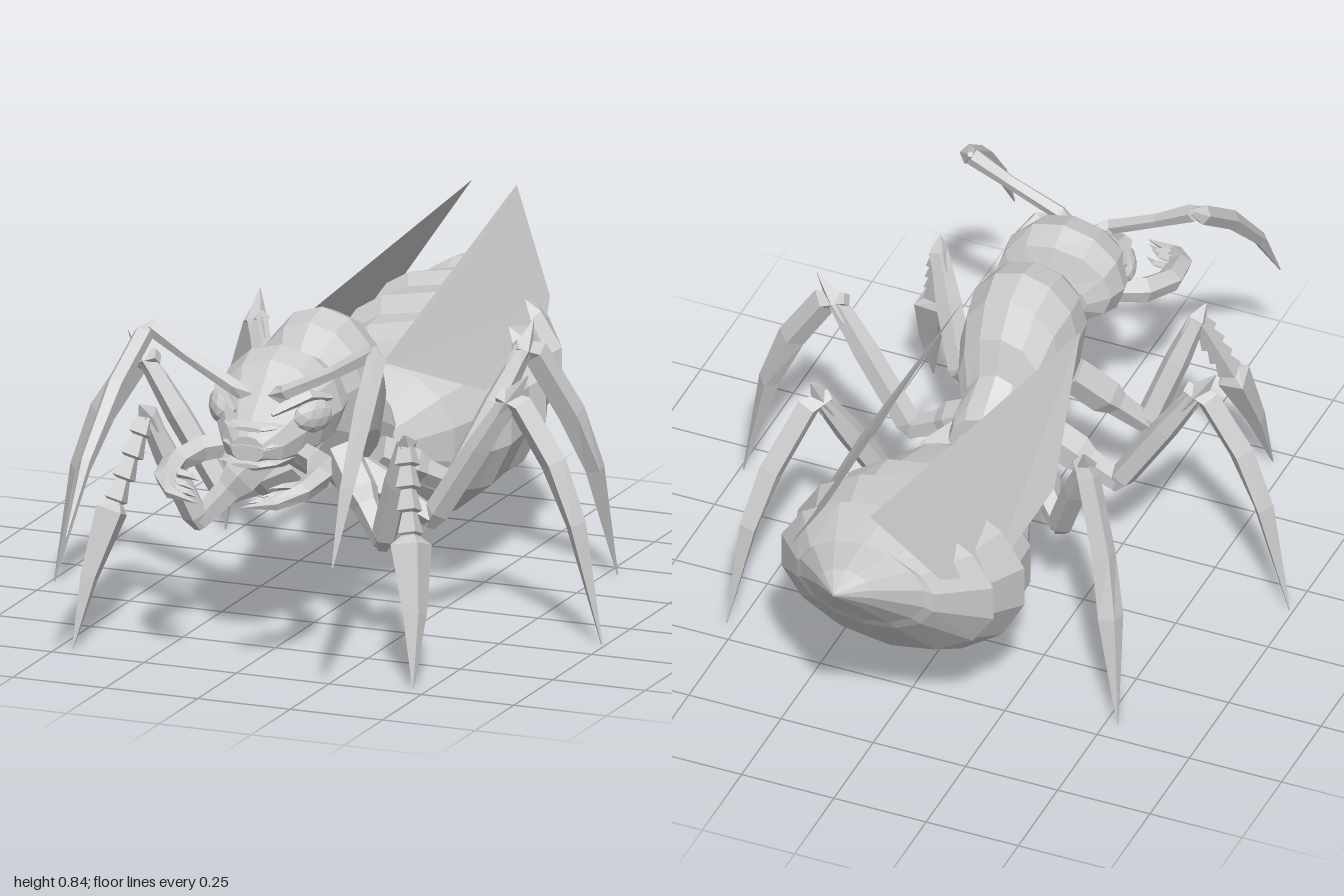
import * as THREE from 'three';

const shell = new THREE.MeshStandardMaterial({ color: 0xcccccc, side: THREE.DoubleSide });
shell.name = 'paleGreyShell';

// Joins equal rings of points into a faceted, capped skin
function skin(name, rings) {
  const pos = [], n = rings[0].length;
  const tri = (a, b, c) => pos.push(...a.toArray(), ...b.toArray(), ...c.toArray());
  for (let j = 0; j < rings.length - 1; j++) {
    for (let i = 0; i < n; i++) {
      const k = (i + 1) % n, a = rings[j], b = rings[j + 1];
      tri(a[i], a[k], b[k]);
      tri(a[i], b[k], b[i]);
    }
  }
  const first = rings[0], last = rings[rings.length - 1];
  for (let i = 1; i < n - 1; i++) {
    tri(first[0], first[i + 1], first[i]);
    tri(last[0], last[i], last[i + 1]);
  }
  const geo = new THREE.BufferGeometry();
  geo.setAttribute('position', new THREE.Float32BufferAttribute(pos, 3));
  geo.computeVertexNormals();
  const mesh = new THREE.Mesh(geo, shell);
  mesh.name = name;
  return mesh;
}

// Body part along z; stations run back to front: [z, top, bottom, halfWidth, heightOfWidest]
function body(name, stations, n = 12) {
  return skin(name, stations.map(([z, top, bot, w, mid = (top + bot) / 2]) =>
    Array.from({ length: n }, (_, i) => {
      const a = (i / n) * Math.PI * 2 + Math.PI / 2, s = Math.sin(a);
      return new THREE.Vector3(Math.cos(a) * w, mid + s * (s > 0 ? top - mid : mid - bot), z);
    })));
}

// Limb along points [x, y, z, widthAlongRef, depth]
function limb(name, side, pts, ref = [0, 1, 0], n = 5) {
  const p = pts.map(([x, y, z]) => new THREE.Vector3(x * side, y, z));
  const r = new THREE.Vector3(ref[0] * side, ref[1], ref[2]);
  return skin(name, p.map((c, j) => {
    const t = p[Math.min(j + 1, p.length - 1)].clone().sub(p[Math.max(j - 1, 0)]).normalize();
    const a = r.clone().addScaledVector(t, -r.dot(t)).normalize();
    const b = t.clone().cross(a);
    const [, , , w, d = w] = pts[j];
    return Array.from({ length: n }, (_, i) => {
      const q = (i / n) * Math.PI * 2;
      return c.clone().addScaledVector(a, Math.cos(q) * w).addScaledVector(b, Math.sin(q) * d);
    });
  }));
}

// Three-jointed leg: femur, tibia, knee spur, then a blade-like foot
function leg(name, side, { hip, low, knee, spur, ref, foot }) {
  const g = new THREE.Group();
  g.name = name;
  const mix = (a, b, t) => a.map((v, i) => v + (b[i] - v) * t);
  g.add(
    limb('femur', side, [[...hip, 0.05], [...mix(hip, low, 0.45), 0.05], [...mix(hip, low, 0.6), 0.035], [...low, 0.028]], ref),
    limb('tibia', side, [[...mix(low, knee, -0.06), 0.018], [...mix(low, knee, 0.06), 0.034],
      [...mix(low, knee, 0.6), 0.034], [...knee, 0.024]], ref),
    limb('kneeSpur', side, [[...mix(low, knee, 0.85), 0.026], [...knee, 0.028], [...spur, 0.002]], ref, 4),
    limb('foot', side, foot, ref, 4));
  return g;
}

// Front foot: flared short joints ending in a broad blade
const frontFoot = [];
for (let i = 0; i < 4; i++) {
  const at = (t) => [0.35 + 0.05 * t, 0.57 - 0.21 * t, 0.49 + 0.09 * t];
  frontFoot.push([...at(i / 4), 0.02], [...at((i + 0.9) / 4), 0.034]);
}
frontFoot.push([0.4, 0.36, 0.58, 0.024], [0.405, 0.34, 0.59, 0.055, 0.045],
  [0.44, 0.18, 0.65, 0.032, 0.025], [0.46, 0.005, 0.71, 0.002]);

const LEGS = {
  frontLeg: {
    hip: [0.09, 0.47, 0.29], low: [0.25, 0.28, 0.4], knee: [0.35, 0.57, 0.49],
    spur: [0.36, 0.6, 0.52], ref: [0.7, 0, -0.7], foot: frontFoot,
  },
  middleLeg: {
    hip: [0.08, 0.38, 0.15], low: [0.28, 0.28, 0.15], knee: [0.49, 0.61, 0.16],
    spur: [0.54, 0.68, 0.16], ref: [0, 0, 1],
    foot: [[0.46, 0.62, 0.16, 0.02], [0.52, 0.6, 0.16, 0.03, 0.035], [0.61, 0.46, 0.16, 0.032, 0.036],
      [0.67, 0.31, 0.16, 0.034, 0.028], [0.74, 0.005, 0.16, 0.002]],
  },
  hindLeg: {
    hip: [0.08, 0.4, 0.04], low: [0.23, 0.3, -0.1], knee: [0.36, 0.62, -0.24],
    spur: [0.37, 0.69, -0.28], ref: [0.7, 0, 0.7],
    foot: [[0.34, 0.63, -0.23, 0.02], [0.38, 0.61, -0.27, 0.03, 0.035], [0.45, 0.44, -0.34, 0.032, 0.036],
      [0.49, 0.29, -0.39, 0.034, 0.026], [0.53, 0.005, -0.44, 0.002]],
  },
};

// Flat pointed wing as a fan
function wing(side) {
  const p = [[0.16, 0.68, 0.19], [0.11, 0.76, -0.48], [0.06, 0.84, -0.91], [0.2, 0.6, -0.79],
    [0.26, 0.5, -0.6], [0.265, 0.51, -0.22], [0.21, 0.59, -0.03]];
  const geo = new THREE.BufferGeometry();
  const pos = [];
  for (let i = 1; i < p.length - 1; i++) {
    for (const [x, y, z] of [p[0], p[i], p[i + 1]]) pos.push(x * side, y, z);
  }
  geo.setAttribute('position', new THREE.Float32BufferAttribute(pos, 3));
  geo.computeVertexNormals();
  const mesh = new THREE.Mesh(geo, shell);
  mesh.name = side > 0 ? 'leftWing' : 'rightWing';
  return mesh;
}

export function createModel() {
  const ant = new THREE.Group();
  ant.name = 'wingedAnt';

  ant.add(
    // Abdomen, with stepped back plates
    body('abdomen', [
      [-1.0, 0.645, 0.635, 0.005], [-0.93, 0.67, 0.56, 0.075], [-0.82, 0.675, 0.44, 0.17, 0.55],
      [-0.8, 0.65, 0.41, 0.19, 0.53], [-0.66, 0.68, 0.25, 0.295, 0.46], [-0.63, 0.65, 0.225, 0.27, 0.45],
      [-0.51, 0.66, 0.145, 0.315, 0.42], [-0.47, 0.62, 0.13, 0.285, 0.41], [-0.38, 0.62, 0.115, 0.275, 0.39],
      [-0.34, 0.585, 0.12, 0.25, 0.38], [-0.2, 0.55, 0.16, 0.195, 0.37], [-0.1, 0.48, 0.25, 0.12, 0.37],
      [-0.06, 0.42, 0.33, 0.05, 0.37]], 14),
    // Waist and thorax
    body('waist', [[-0.13, 0.43, 0.32, 0.05], [-0.08, 0.5, 0.3, 0.08], [-0.05, 0.5, 0.3, 0.08], [0, 0.46, 0.33, 0.06]], 8),
    body('thorax', [[-0.06, 0.53, 0.36, 0.09], [-0.03, 0.56, 0.34, 0.1], [0.03, 0.61, 0.35, 0.09],
      [0.06, 0.7, 0.35, 0.115, 0.56], [0.12, 0.78, 0.35, 0.135, 0.62], [0.2, 0.81, 0.36, 0.15, 0.64],
      [0.28, 0.79, 0.39, 0.14, 0.64], [0.345, 0.73, 0.46, 0.1, 0.62], [0.375, 0.65, 0.56, 0.04]]),
    // Neck, head and mouth plates
    body('neck', [[0.33, 0.67, 0.53, 0.06], [0.42, 0.67, 0.53, 0.06]], 8),
    body('head', [[0.375, 0.67, 0.57, 0.1], [0.4, 0.75, 0.53, 0.155, 0.64], [0.46, 0.78, 0.5, 0.165, 0.63],
      [0.53, 0.76, 0.49, 0.15, 0.62], [0.59, 0.7, 0.49, 0.12, 0.6], [0.64, 0.65, 0.5, 0.085], [0.68, 0.6, 0.53, 0.045]]));
  for (let i = 0; i < 3; i++) {
    const y = 0.52 + i * 0.045, z = 0.67 - i * 0.008;
    ant.add(body('mouthPlate', [[0.56, y + 0.03, y, 0.1], [z, y + 0.022, y, 0.075], [z + 0.02, y + 0.012, y, 0.04]], 8));
  }

  for (const side of [1, -1]) {
    const label = side > 0 ? 'left' : 'right';

    // Eye with a brow ridge
    let eyeGeo = new THREE.IcosahedronGeometry(1, 1).scale(0.03, 0.045, 0.06);
    eyeGeo.rotateY(side * -0.5).translate(side * 0.125, 0.635, 0.555);
    eyeGeo.computeVertexNormals();
    const eye = new THREE.Mesh(eyeGeo, shell);
    eye.name = label + 'Eye';
    ant.add(eye, limb(label + 'Brow', side,
      [[0.15, 0.67, 0.5, 0.008], [0.12, 0.69, 0.57, 0.018], [0.05, 0.65, 0.64, 0.006]], [0, 1, 0], 4));

    // Antenna
    ant.add(
      limb(label + 'AntennaBase', side, [[0.04, 0.68, 0.58, 0.028], [0.07, 0.7, 0.6, 0.02],
        [0.2, 0.765, 0.59, 0.018], [0.3, 0.825, 0.58, 0.024]]),
      limb(label + 'AntennaTip', side, [[0.3, 0.835, 0.57, 0.008], [0.315, 0.81, 0.6, 0.026],
        [0.335, 0.71, 0.73, 0.026], [0.352, 0.55, 0.88, 0.018], [0.36, 0.38, 0.99, 0.002]], [1, 0, 0]));

    // Curved jaw with inner teeth
    const jaw = new THREE.Group();
    jaw.name = label + 'Jaw';
    jaw.add(limb('jawArm', side, [[0.08, 0.54, 0.55, 0.03], [0.16, 0.53, 0.6, 0.034], [0.195, 0.515, 0.68, 0.03, 0.034],
      [0.185, 0.5, 0.77, 0.025, 0.03], [0.14, 0.48, 0.835, 0.016, 0.02], [0.06, 0.47, 0.865, 0.002]]));
    for (const [x, y, z] of [[0.17, 0.505, 0.74], [0.165, 0.495, 0.785], [0.145, 0.485, 0.815]]) {
      jaw.add(limb('tooth', side, [[x, y, z, 0.014], [x - 0.045, y - 0.005, z + 0.005, 0.009],
        [x - 0.075, y - 0.008, z + 0.025, 0.001]], [0, 1, 0], 4));
    }
    ant.add(jaw, wing(side));

    for (const [name, spec] of Object.entries(LEGS)) ant.add(leg(label + name[0].toUpperCase() + name.slice(1), side, spec));
  }
  return ant;
}
